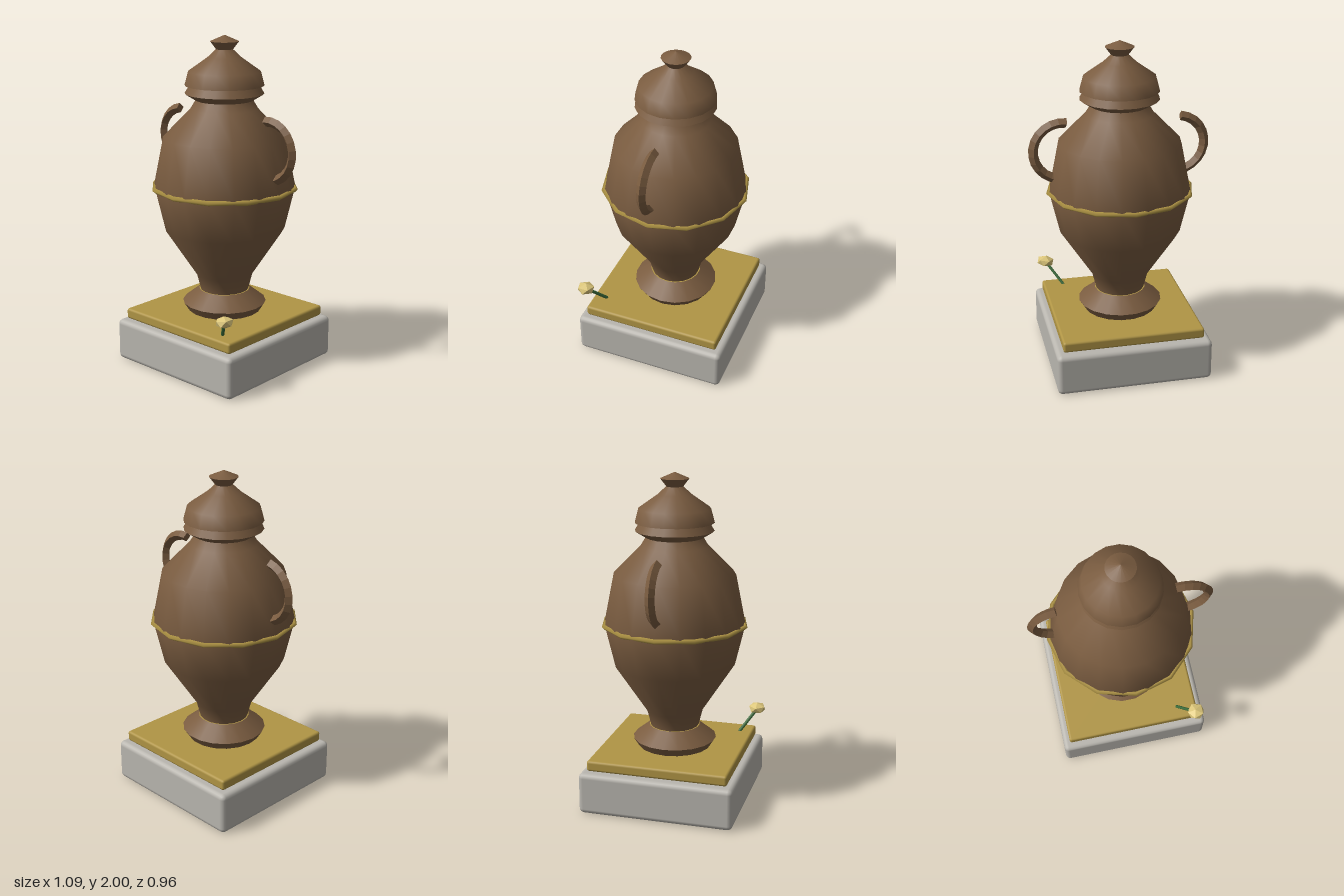
import * as THREE from 'three';
import { RoundedBoxGeometry } from 'three/addons/geometries/RoundedBoxGeometry.js';

const mat = (name, color, flatShading = false) => {
  const m = new THREE.MeshStandardMaterial({ color, flatShading });
  m.name = name;
  return m;
};

export function createModel() {
  const model = new THREE.Group();
  const bronze = mat('bronze brown', 0x7a5c40);
  const bronzeFlat = bronze.clone();
  bronzeFlat.flatShading = true;
  const gold = mat('old gold', 0xb09545);
  const stone = mat('grey stone', 0xb9b6af);
  const green = mat('stem green', 0x3c6e3c);
  const cream = mat('blossom cream', 0xdcc67a, true);

  const add = (parent, name, geometry, material, x = 0, y = 0, z = 0) => {
    const mesh = new THREE.Mesh(geometry, material);
    mesh.name = name;
    mesh.position.set(x, y, z);
    parent.add(mesh);
    return mesh;
  };

  // Everything but the flower shares one axis
  const urn = new THREE.Group();
  urn.name = 'urn';
  urn.position.z = -0.015;
  model.add(urn);

  // Plinth and plate
  add(urn, 'plinth', new RoundedBoxGeometry(0.94, 0.255, 0.94, 2, 0.03), stone, 0, 0.1275, 0);
  add(urn, 'plate', new RoundedBoxGeometry(0.856, 0.065, 0.856, 2, 0.015), gold, 0, 0.2925, 0);

  // Turned parts: [radius, height] from bottom to top
  const turned = {
    footRim: [[0.22, 0.32], [0.255, 0.375]],
    foot: [[0.255, 0.375], [0.155, 0.455]],
    body: [[0.148, 0.455], [0.172, 0.55], [0.365, 0.845], [0.425, 1.1], [0.365, 1.4], [0.2, 1.57], [0.17, 1.62]],
    neckLip: [[0.17, 1.62], [0.235, 1.66]],
    neckRim: [[0.235, 1.66], [0.205, 1.71]],
    lidUnderside: [[0.19, 1.705], [0.235, 1.708]],
    lid: [[0.235, 1.708], [0.213, 1.79], [0.1, 1.87], [0.05, 1.917]],
    knobNeck: [[0.05, 1.917], [0.085, 1.963]],
    knobTop: [[0.085, 1.963], [0, 2]],
  };
  for (const [name, profile] of Object.entries(turned)) {
    const points = profile.map(([r, y]) => new THREE.Vector2(r, y));
    add(urn, name, new THREE.LatheGeometry(points, 18, Math.PI / 2), bronze);
  }

  // Gold band around the widest point
  const band = new THREE.TorusGeometry(0.43, 0.015, 4, 12).rotateX(Math.PI / 2);
  add(urn, 'goldBand', band, gold, 0, 1.1, 0);

  // Half-ring handles with capped ends
  for (const side of [1, -1]) {
    const handle = new THREE.Group();
    handle.name = side > 0 ? 'leftHandle' : 'rightHandle';
    handle.position.set(side * 0.343, 1.36, 0);
    handle.rotation.z = -side * Math.PI / 2 + 0.15;
    add(handle, 'handleRing', new THREE.TorusGeometry(0.172, 0.029, 4, 12, Math.PI), bronzeFlat);
    const cap = new THREE.CircleGeometry(0.029, 4).rotateX(Math.PI / 2);
    add(handle, 'handleEnd', cap.clone().rotateX(Math.PI), bronzeFlat, -0.172, 0, 0).rotation.x = Math.PI;
    add(handle, 'handleEnd', cap, bronzeFlat, 0.172, 0, 0).rotation.x = Math.PI * 2;
    // Each cap faces away from the half ring
    handle.children[1].rotation.x = 0;
    handle.children[1].geometry.rotateX(Math.PI);
    urn.add(handle);
  }

  // Leaning flower on the front corner
  const root = new THREE.Vector3(0.3, 0.322, 0.33);
  const tip = new THREE.Vector3(0.395, 0.445, 0.42);
  const lean = tip.clone().sub(root);
  const mid = root.clone().add(tip).multiplyScalar(0.5);
  const stem = add(model, 'flowerStem', new THREE.CylinderGeometry(0.01, 0.01, lean.length(), 6), green, ...mid);
  stem.quaternion.setFromUnitVectors(new THREE.Vector3(0, 1, 0), lean.normalize());

  const blossom = new THREE.IcosahedronGeometry(0.057, 0);
  blossom.rotateZ(Math.atan2(1, (1 + Math.sqrt(5)) / 2)); // a corner points up
  blossom.scale(1, 0.62, 1).rotateZ(0.12);
  add(model, 'blossom', blossom, cream, 0.4, 0.455, 0.423);

  return model;
}
